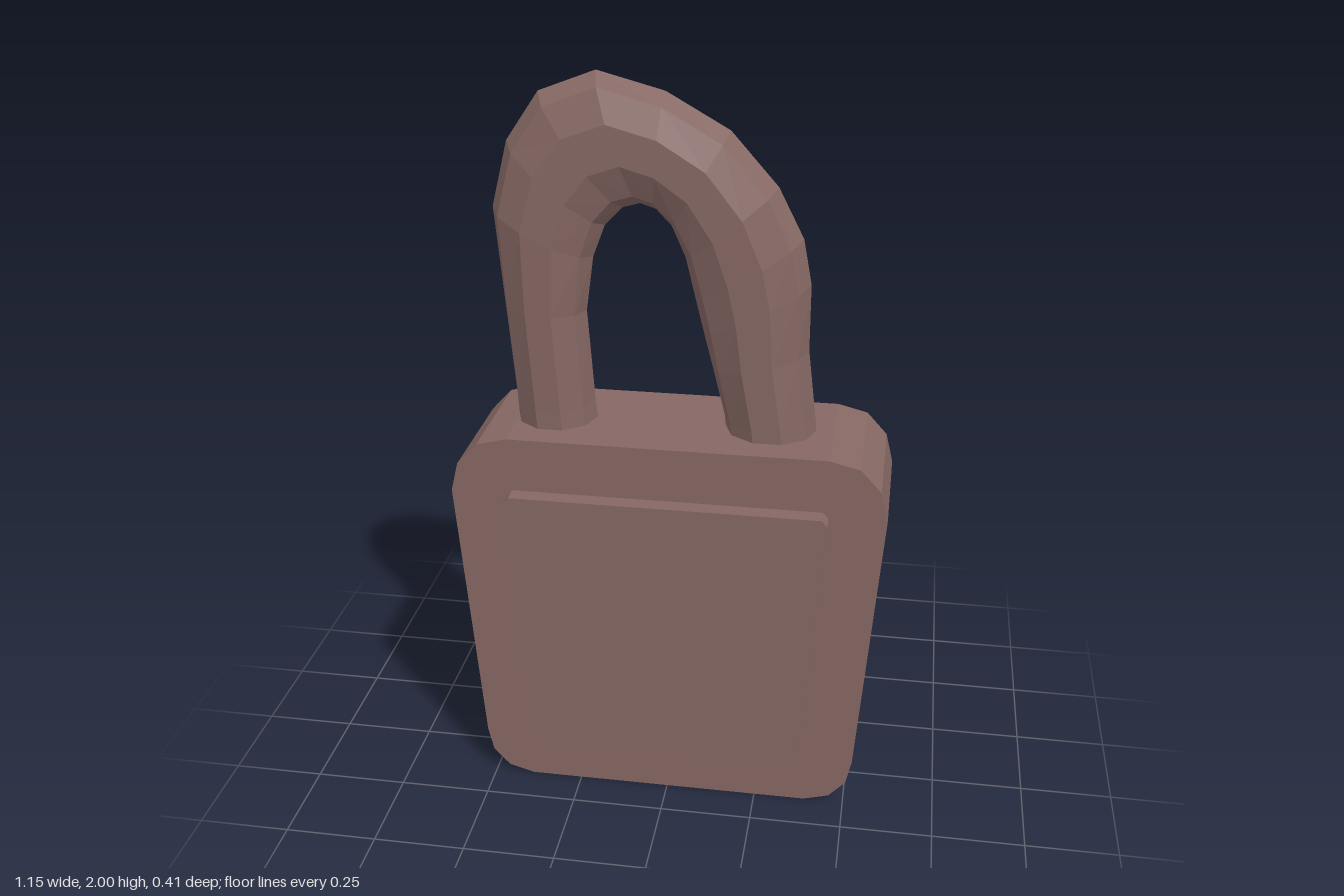
import * as THREE from 'three';

const brown = new THREE.MeshStandardMaterial({ color: 0x866864 });

// Mirrors the right half of an outline and extrudes it; depth follows the height.
function slab(name, half, back, front) {
  const pts = [
    ...half.map(([x, y]) => new THREE.Vector2(x, y)),
    ...half.slice().reverse().map(([x, y]) => new THREE.Vector2(-x, y)),
  ];
  const geo = new THREE.ExtrudeGeometry(new THREE.Shape(pts), { depth: 1, bevelEnabled: false });
  const p = geo.attributes.position;
  for (let i = 0; i < p.count; i++) {
    const y = p.getY(i);
    p.setZ(i, THREE.MathUtils.lerp(back(y), front(y), p.getZ(i)));
  }
  geo.computeVertexNormals();
  const mesh = new THREE.Mesh(geo, brown);
  mesh.name = name;
  return mesh;
}

// Lopsided bow: each station is [outer x, outer y, inner x, inner y].
function makeShackle() {
  const stations = [
    [-0.425, 1.0, -0.205, 1.0],
    [-0.43, 1.12, -0.217, 1.12],
    [-0.447, 1.4, -0.23, 1.38],
    [-0.463, 1.65, -0.207, 1.53],
    [-0.42, 1.82, -0.175, 1.615],
    [-0.335, 1.945, -0.13, 1.662],
    [-0.19, 2.0, -0.085, 1.675],
    [-0.02, 1.955, -0.045, 1.662],
    [0.14, 1.865, -0.005, 1.62],
    [0.26, 1.73, 0.03, 1.54],
    [0.325, 1.6, 0.055, 1.43],
    [0.347, 1.48, 0.075, 1.34],
    [0.347, 1.3, 0.098, 1.24],
    [0.37, 1.1, 0.13, 1.1],
    [0.38, 1.0, 0.14, 1.0],
  ];
  const sides = 10, pos = [], index = [];
  stations.forEach(([ox, oy, ix, iy], i) => {
    const cx = (ox + ix) / 2, cy = (oy + iy) / 2;
    const t = THREE.MathUtils.clamp((cy - 1.05) / 0.55, 0, 1);
    const cz = THREE.MathUtils.lerp(-0.025, 0.016, t);
    const depth = THREE.MathUtils.lerp(0.112, 0.09, t);
    for (let j = 0; j < sides; j++) {
      const a = (j / sides) * Math.PI * 2;
      pos.push(cx + Math.cos(a) * (ox - cx), cy + Math.cos(a) * (oy - cy), cz + Math.sin(a) * depth);
      if (i < stations.length - 1) {
        const k = (j + 1) % sides, r = i * sides, n = r + sides;
        index.push(r + j, r + k, n + k, r + j, n + k, n + j);
      }
    }
  });
  let geo = new THREE.BufferGeometry();
  geo.setAttribute('position', new THREE.Float32BufferAttribute(pos, 3));
  geo.setIndex(index);
  geo = geo.toNonIndexed(); // faceted
  geo.computeVertexNormals();
  const mesh = new THREE.Mesh(geo, brown);
  mesh.name = 'shackle';
  return mesh;
}

export function createModel() {
  const group = new THREE.Group();
  group.name = 'padlock';
  const bodyFront = (y) => 0.143 + 0.016 * y;

  // Tapered body with chamfered corners
  group.add(slab('body', [
    [0.39, 0], [0.46, 0.02], [0.505, 0.07], [0.52, 0.14],
    [0.575, 0.91], [0.555, 0.99], [0.5, 1.05], [0.42, 1.07],
  ], (y) => -0.185 - 0.019 * y, bodyFront));

  // Raised front panel
  group.add(slab('frontPanel', [
    [0.36, 0.155], [0.37, 0.165], [0.424, 0.905], [0.41, 0.922],
  ], (y) => bodyFront(y) - 0.01, (y) => 0.187 + 0.019 * y));

  group.add(makeShackle());
  return group;
}
